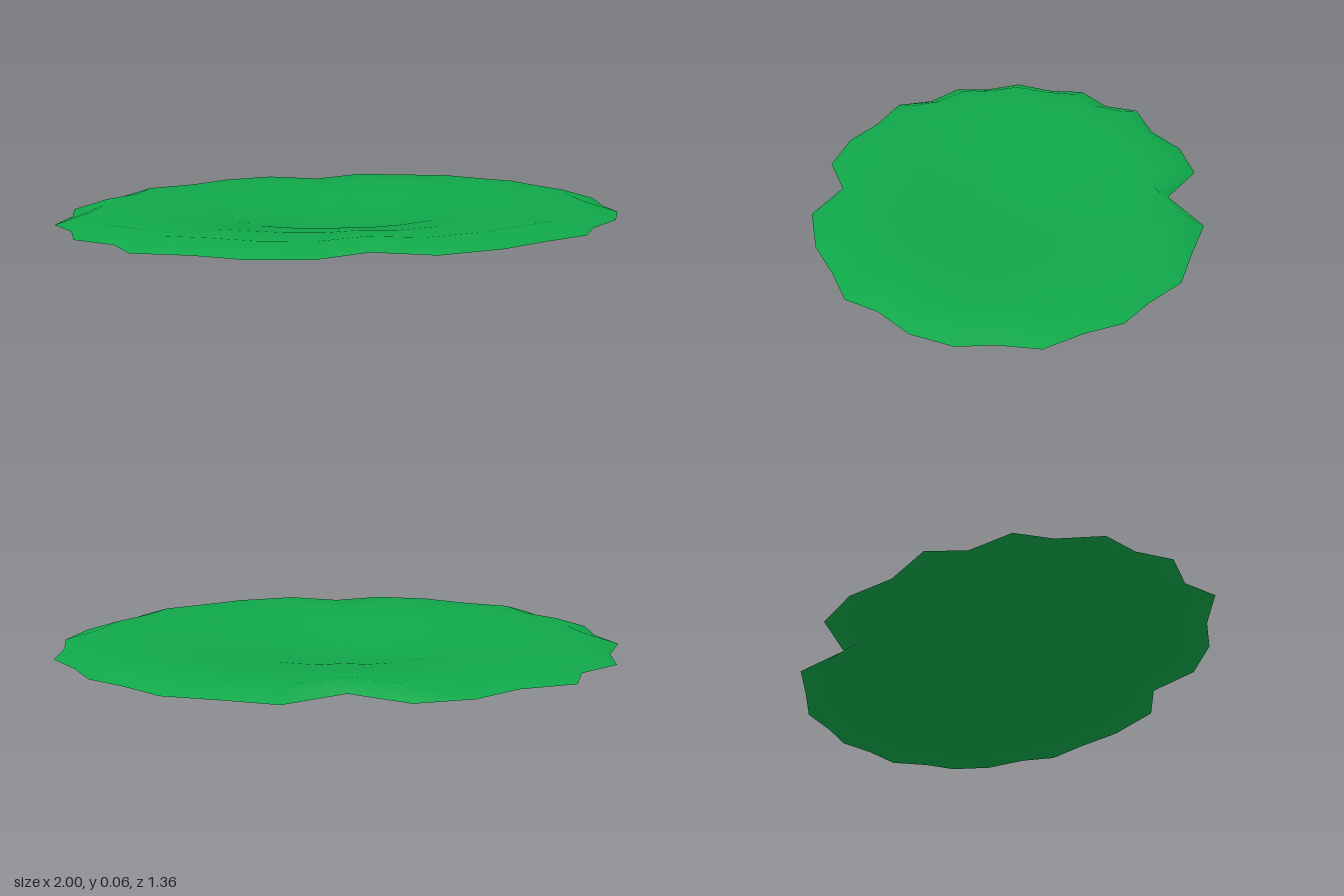
import * as THREE from 'three';

// Scalloped outline [x, z], running from the left side round the front
const OUTLINE = [
  [0.985, 0], [1, 0.12], [0.94, 0.26], [0.82, 0.37], [0.755, 0.48], [0.595, 0.545], [0.43, 0.625], [0.2, 0.675],
  [0, 0.597], [-0.195, 0.667], [-0.405, 0.627], [-0.565, 0.54], [-0.755, 0.477], [-0.8, 0.35], [-0.93, 0.25], [-0.94, 0.12],
  [-1, 0], [-0.94, -0.14], [-0.935, -0.27], [-0.795, -0.365], [-0.755, -0.49], [-0.555, -0.54], [-0.405, -0.64], [-0.2, -0.68],
  [0, -0.57], [0.21, -0.68], [0.4, -0.625], [0.595, -0.575], [0.725, -0.465], [0.845, -0.385], [0.91, -0.26], [1, -0.14],
];

// Rings from the middle outwards: [scale, height, how much of the scallop shows]
const RINGS = [[0.22, 0.006, 0.3], [0.42, 0.034, 0.4], [0.65, 0.054, 0.5], [0.88, 0.062, 0.8], [1, 0.022, 1]];

// Shallow dish whose rim droops at the edge
function leafGeometry() {
  const n = OUTLINE.length;
  const positions = [0, 0.004, 0];
  const index = [];
  RINGS.forEach(([scale, height, scallop], r) => {
    OUTLINE.forEach(([x, z], i) => {
      const a = Math.atan2(z / 0.66, x / 0.98);
      const px = scale * THREE.MathUtils.lerp(0.98 * Math.cos(a), x, scallop);
      const pz = scale * THREE.MathUtils.lerp(0.66 * Math.sin(a), z, scallop);
      positions.push(px, height + 0.01 * pz, pz); // slight tilt, front higher
      const j = (i + 1) % n;
      const outer = 1 + r * n;
      if (r === 0) {
        index.push(0, outer + j, outer + i);
      } else {
        const inner = outer - n;
        index.push(inner + i, inner + j, outer + i, inner + j, outer + j, outer + i);
      }
    });
  });
  const geometry = new THREE.BufferGeometry();
  geometry.setAttribute('position', new THREE.Float32BufferAttribute(positions, 3));
  geometry.setIndex(index);
  geometry.computeVertexNormals();
  return geometry;
}

export function createModel() {
  const group = new THREE.Group();
  group.name = 'lilyPad';
  const material = new THREE.MeshStandardMaterial({ color: 0x10a84a, side: THREE.DoubleSide });
  const leaf = new THREE.Mesh(leafGeometry(), material);
  leaf.name = 'leaf';
  // Rest the lowest point on the ground
  leaf.geometry.computeBoundingBox();
  leaf.position.y = -leaf.geometry.boundingBox.min.y;
  group.add(leaf);
  return group;
}
